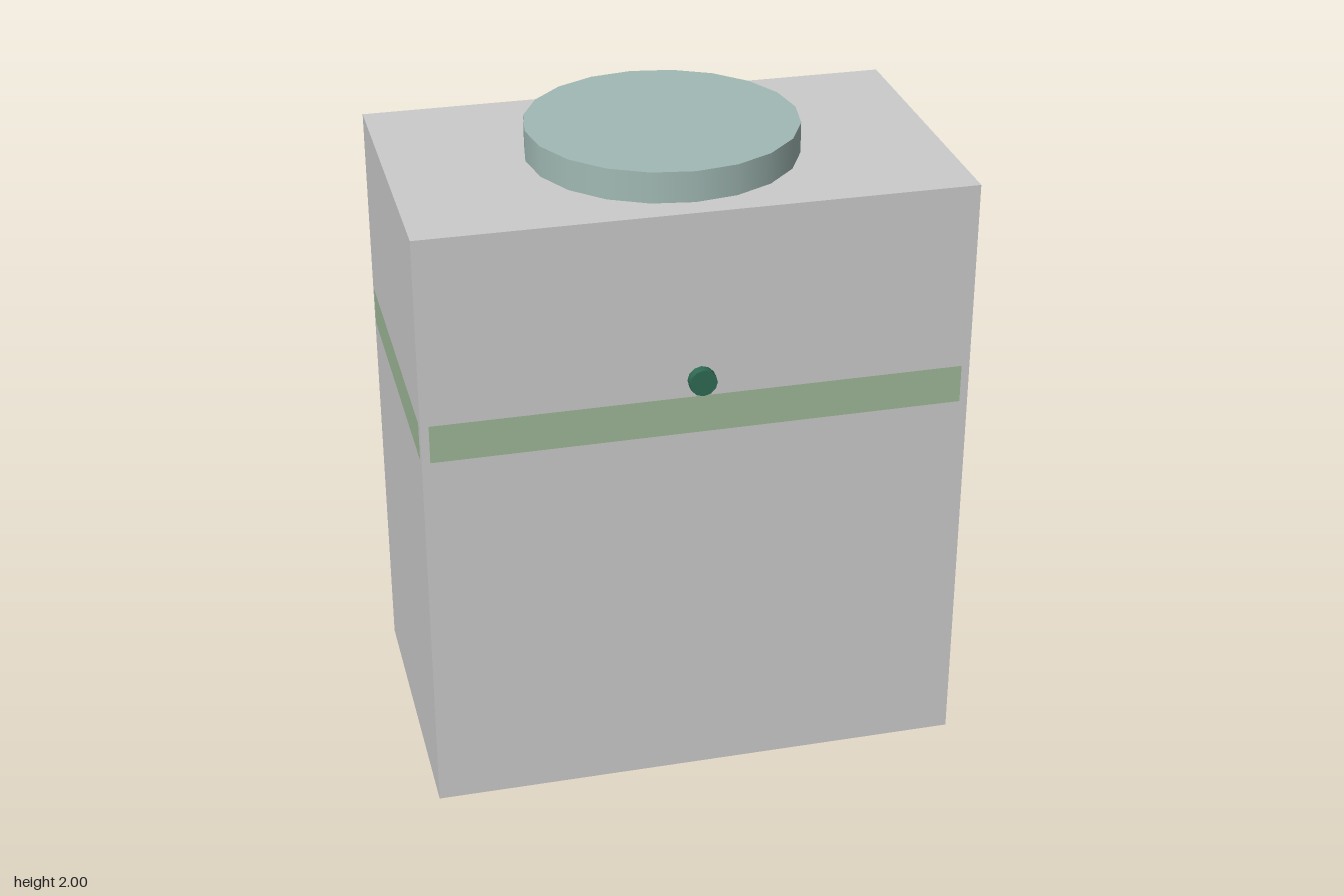
import * as THREE from 'three';

const W = 1.666, H = 1.905, D = 0.98, ZC = -0.015; // body size and depth centre
const SKIN = 0.001; // lift of thin panels off the body

export function createModel() {
  const model = new THREE.Group();
  model.name = 'canister';

  const add = (name, geometry, color, x, y, z) => {
    const mesh = new THREE.Mesh(geometry, new THREE.MeshStandardMaterial({ color }));
    mesh.name = name;
    mesh.position.set(x, y, z);
    model.add(mesh);
    return mesh;
  };

  // Plain rectangular body
  add('body', new THREE.BoxGeometry(W, H - SKIN, D), 0xcccccc, 0, (H + SKIN) / 2, ZC);

  // Round lid on top
  add('lid', new THREE.CylinderGeometry(0.415, 0.415, 2 - H, 20), 0xa1b9b4, 0, (2 + H) / 2, ZC);

  // Small round button on the front
  const button = add('button', new THREE.CylinderGeometry(0.042, 0.042, 0.03, 12), 0x2f6b55, 0, 1.375, 0.49);
  button.rotation.x = Math.PI / 2;

  // Decorative band: one flush panel per side, short of the corners
  for (let i = 0; i < 4; i++) {
    const angle = i * Math.PI / 2;
    const [length, reach] = i % 2 ? [D, W / 2] : [W, D / 2];
    const panel = add('bandPanel', new THREE.PlaneGeometry(length - 0.05, 0.12), 0x9fb898,
      Math.sin(angle) * (reach + SKIN), 1.26, ZC + Math.cos(angle) * (reach + SKIN));
    panel.rotation.y = angle;
  }

  // Flush panel under the base
  const base = add('basePanel', new THREE.PlaneGeometry(1.53, 0.69), 0xc68a58, 0, 0, ZC);
  base.rotation.x = Math.PI / 2;

  return model;
}
